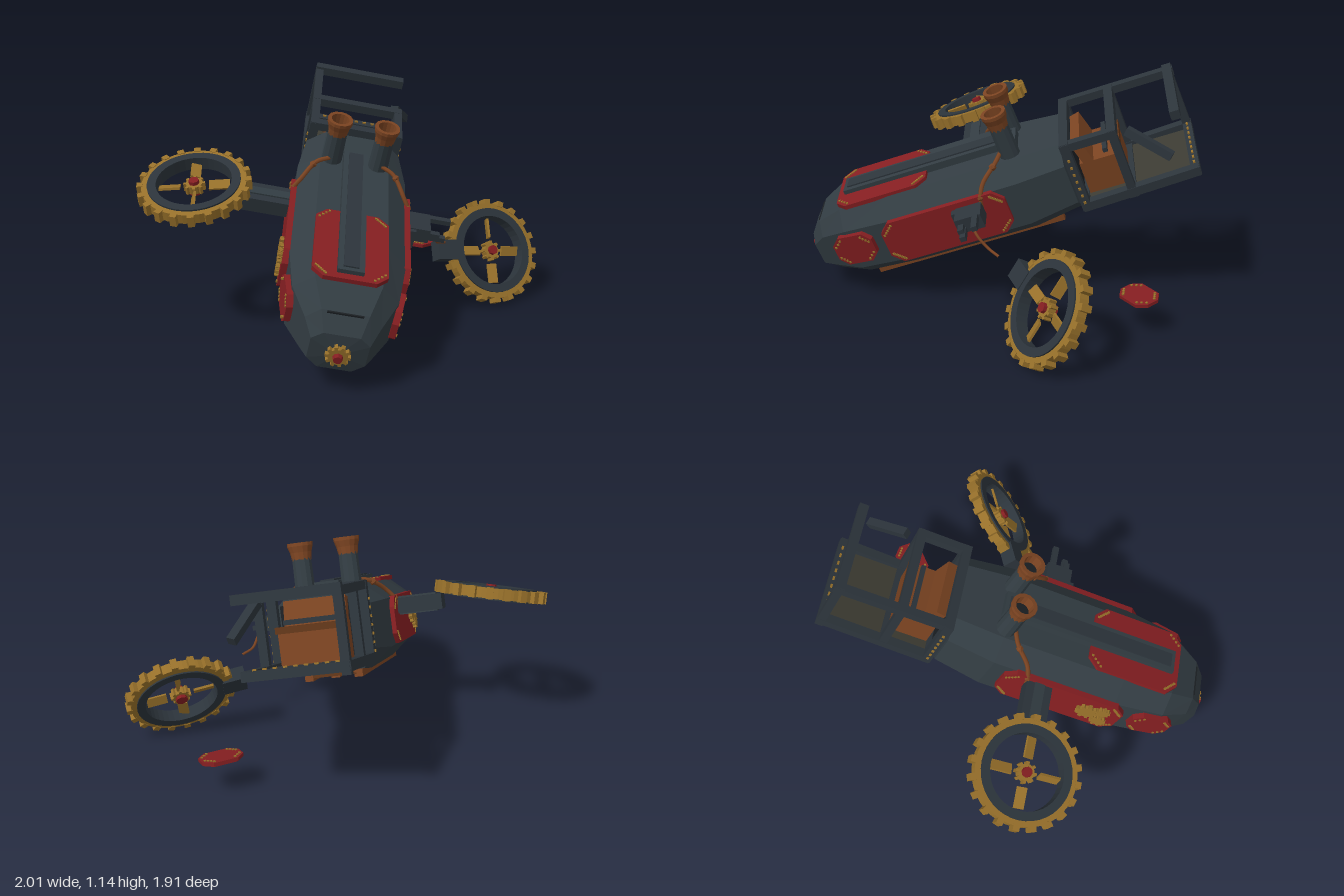
import * as THREE from 'three';

const mat = (name, color) => {
  const m = new THREE.MeshStandardMaterial({ color });
  m.name = name;
  return m;
};
const V = (x, y, z) => new THREE.Vector3(x, y, z);

export function createModel() {
  const steel = mat('dark steel', 0x323c42), frame = mat('frame steel', 0x2c343b);
  const red = mat('red plate', 0x841e21), gold = mat('brass', 0x97702a);
  const rust = mat('rusty copper', 0x7a4321), brown = mat('brown underside', 0x5e3418);
  const glass = mat('smoky glass', 0x3c3b32), black = mat('soot', 0x1b1f23);

  const root = new THREE.Group();
  root.name = 'wreckedCraft';
  // the craft is pitched nose down and rolled to its left
  const body = new THREE.Group();
  body.name = 'body';
  body.position.set(-0.02, 0.5, 0.2);
  body.rotation.set(0.349, 0, -0.192, 'ZYX');
  root.add(body);

  const flat = (g) => {
    const f = g.index ? g.toNonIndexed() : g;
    f.computeVertexNormals();
    return f;
  };
  const add = (parent, name, geo, m, x = 0, y = 0, z = 0) => {
    const mesh = new THREE.Mesh(geo, m);
    mesh.name = name;
    mesh.position.set(x, y, z);
    parent.add(mesh);
    return mesh;
  };
  const box = (parent, name, m, w, h, d, x, y, z) =>
    add(parent, name, new THREE.BoxGeometry(w, h, d), m, x, y, z);
  // square bar between two points
  const bar = (parent, name, p, q, s = 0.04, m = frame) => {
    const mesh = new THREE.Mesh(new THREE.BoxGeometry(s, s, p.distanceTo(q) + s * 0.8), m);
    mesh.name = name;
    mesh.position.copy(p).lerp(q, 0.5);
    mesh.lookAt(q);
    parent.add(mesh);
    return mesh;
  };

  // riveted plate with cut corners, facing +z of its group
  const plate = (parent, name, w, h, cut, t = 0.022, n = 5) => {
    const g = new THREE.Group();
    g.name = name;
    const x = w / 2, y = h / 2;
    const outline = (k) => [[x - cut, -y], [x, cut - y], [x, y - cut], [x - cut, y],
      [cut - x, y], [-x, y - cut], [-x, cut - y], [cut - x, -y]]
      .map(([a, b]) => new THREE.Vector2(a * (1 - k / x), b * (1 - k / y)));
    add(g, name + 'Sheet', new THREE.ExtrudeGeometry(new THREE.Shape(outline(0)),
      { depth: t, bevelEnabled: false }), red);
    const pts = outline(0.016);
    pts.forEach((p, i) => {
      const q = pts[(i + 1) % 8], steps = i % 2 ? 1 : Math.max(1, i % 4 === 0 ? Math.ceil(n * 0.5) : n);
      // long edges get the full rivet count
      for (let s = 0; s < steps; s++) {
        const r = p.clone().lerp(q, s / steps);
        box(g, 'rivet', gold, 0.01, 0.01, 0.01, r.x, r.y, t);
      }
    });
    parent.add(g);
    return g;
  };

  // toothed disc, axis along y
  const gear = (parent, name, r, t, teeth, m = gold) => {
    const g = new THREE.Group();
    g.name = name;
    add(g, name + 'Disc', flat(new THREE.CylinderGeometry(r * 0.8, r * 0.8, t, 14)), m);
    for (let i = 0; i < teeth; i++) {
      const a = i / teeth * Math.PI * 2;
      box(g, 'tooth', m, r * 0.35, t, r * 0.28, Math.cos(a) * r * 0.85, 0, Math.sin(a) * r * 0.85).rotation.y = -a;
    }
    parent.add(g);
    return g;
  };

  // faceted hull lofted from octagon sections: [z, width scale, height scale, y shift]
  const right = [[0.17, 0.2], [0.27, 0.12], [0.27, -0.11], [0.16, -0.2]];
  const oct = [...right, ...right.map(([a, b]) => [-a, b]).reverse()];
  const rings = [[-0.57, 0.88, 0.9, 0.01], [-0.33, 1, 1, 0], [0.3, 1, 1, 0], [0.56, 0.88, 0.97, 0],
    [0.70, 0.62, 0.75, -0.01], [0.77, 0.48, 0.5, -0.03]]
    .map(([z, su, sv, c]) => oct.map(([a, b]) => V(a * su, b * sv + c, z)));
  const tris = [];
  for (let i = 0; i < 8; i++) {
    const j = (i + 1) % 8;
    for (let k = 0; k < rings.length - 1; k++) {
      const [a, b, c, d] = [rings[k][i], rings[k][j], rings[k + 1][j], rings[k + 1][i]];
      tris.push(a, d, c, a, c, b);
    }
    const end = rings[rings.length - 1];
    tris.push(V(0, 0.01, -0.57), rings[0][i], rings[0][j], V(0, -0.03, 0.785), end[j], end[i]);
  }
  add(body, 'hull', flat(new THREE.BufferGeometry().setFromPoints(tris)), steel);

  // top plate and spine
  const top = plate(body, 'topPlate', 0.34, 0.47, 0.05, 0.022, 6);
  top.rotation.x = -Math.PI / 2;
  top.position.set(0, 0.194, 0.335);
  box(body, 'spine', steel, 0.12, 0.05, 0.9, 0, 0.212, 0.085);
  box(body, 'spineRidge', frame, 0.07, 0.01, 0.86, 0, 0.239, 0.085);

  // nose boss
  const boss = gear(body, 'noseGear', 0.055, 0.03, 10);
  boss.rotation.x = Math.PI / 2;
  boss.position.set(0, -0.03, 0.785);
  add(boss, 'noseHub', flat(new THREE.CylinderGeometry(0.02, 0.026, 0.03, 8)), red, 0, 0.02, 0);
  box(body, 'noseSlot', black, 0.16, 0.008, 0.008, 0, 0.135, 0.705);

  // side plates, chimneys and pipes on both sides
  for (const s of [1, -1]) {
    const side = plate(body, 'sidePlate', 0.63, 0.23, 0.05, 0.03, 8);
    side.rotation.y = s * Math.PI / 2;
    side.position.set(s * 0.262, 0.01, 0.055);
    const cheek = plate(body, 'cheekPlate', 0.21, 0.16, 0.04, 0.03, 3);
    cheek.rotation.y = s * (Math.PI / 2 - 0.16);
    cheek.position.set(s * 0.236, 0.02, 0.53);
    add(body, 'chimney', flat(new THREE.CylinderGeometry(0.046, 0.05, 0.25, 12, 1, true)), steel, s * 0.115, 0.3, -0.328);
    add(body, 'chimneyRim', flat(new THREE.LatheGeometry([[0.034, -0.15], [0.052, -0.03], [0.062, 0.0],
      [0.062, 0.016], [0.044, 0.016], [0.034, -0.15]].map((p) => new THREE.Vector2(...p)), 14)), rust, s * 0.115, 0.42, -0.328);
    add(body, 'chimneySoot', new THREE.CircleGeometry(0.045, 12), black, s * 0.115, 0.38, -0.328).rotation.x = -Math.PI / 2;
    const path = new THREE.CatmullRomCurve3([V(s * 0.13, 0.23, -0.29), V(s * 0.19, 0.215, -0.26),
      V(s * 0.25, 0.16, -0.18), V(s * 0.287, 0.1, -0.15), V(s * 0.28, 0.06, -0.15)]);
    add(body, 'pipe', new THREE.TubeGeometry(path, 16, 0.011, 6), rust);
    for (const t of [0.3, 0.7]) {
      const p = path.getPoint(t);
      add(body, 'pipeJoint', flat(new THREE.IcosahedronGeometry(0.019, 0)), rust, p.x, p.y, p.z);
    }
    // underside rails
    box(body, 'keelRail', rust, 0.04, 0.035, 0.98, s * 0.12, -0.207, 0.03);
  }
  box(body, 'keelPlate', brown, 0.22, 0.02, 0.98, 0, -0.2, 0.03);
  box(body, 'keelRidge', rust, 0.04, 0.02, 0.9, 0, -0.212, 0.03);

  // hatch lock on the left plate, clockwork on the other
  box(body, 'hatchLock', black, 0.035, 0.08, 0.11, 0.302, 0.043, -0.06);
  for (const dz of [-0.05, 0.05]) box(body, 'lockPost', frame, 0.05, 0.1, 0.02, 0.305, 0.043, -0.06 + dz);
  for (const dy of [-0.035, 0.035]) box(body, 'lockBar', frame, 0.05, 0.02, 0.12, 0.305, 0.043 + dy, -0.06);
  [[0.055, 0.02, 0.2], [0.04, -0.03, 0.28], [0.035, 0.06, 0.27]].forEach(([r, y, z]) => {
    const g = gear(body, 'clockworkGear', r, 0.02, 9);
    g.rotation.z = Math.PI / 2;
    g.position.set(-0.3, y, z);
  });

  // wing arm on one side, snapped stump on the other
  box(body, 'wingArm', frame, 0.27, 0.075, 0.13, -0.375, 0.07, -0.086);
  box(body, 'wingArmRib', steel, 0.24, 0.09, 0.05, -0.36, 0.07, -0.086);
  box(body, 'wingStump', frame, 0.14, 0.075, 0.13, 0.33, 0.06, -0.086);
  [[0.03, -0.04, 0.1], [-0.02, 0.035, 0.08], [0.0, 0.04, 0.05]].forEach(([dy, dz, l]) =>
    box(body, 'stumpProng', frame, l, 0.025, 0.028, 0.4 + l / 2, 0.06 + dy, -0.086 + dz));

  // open rear cage with a missing corner
  const F = -0.6, M = -0.83, B = -1.14, T = 0.205, L = -0.13, U = 0.215;
  for (const s of [1, -1]) {
    bar(body, 'cageFrontPost', V(s * U, L, F), V(s * U, T, F), 0.045);
    bar(body, 'cageMidPost', V(s * U, L, M), V(s * U, T, M));
    bar(body, 'cageBottomRail', V(s * U, L, F), V(s * U, L + 0.02, B), 0.045);
    bar(body, 'cageTopRail', V(s * U, T, F), V(s * U, T, s > 0 ? M : B));
    for (let i = 0; i < 7; i++) box(body, 'cageRivet', gold, 0.012, 0.012, 0.012, s * 0.238, -0.1 + i * 0.04, F);
  }
  bar(body, 'cageRearPost', V(-U, L, B), V(-U, T + 0.01, B + 0.01));
  bar(body, 'cageRearTopBar', V(-U, T + 0.01, B + 0.01), V(U + 0.01, T + 0.01, B + 0.01), 0.045);
  [[T, F], [T, M], [L, F], [L, M], [L + 0.02, B]].forEach(([y, z]) =>
    bar(body, 'cageCrossBar', V(-U, y, z), V(U, y, z), 0.043));
  for (let i = 0; i < 9; i++) box(body, 'cageRivet', gold, 0.018, 0.008, 0.01, -0.18 + i * 0.045, L + 0.045, B);
  for (const z of [(F + M) / 2, (M + B) / 2]) {
    box(body, 'floorPane', glass, 0.41, 0.012, z > -0.8 ? 0.21 : 0.29, 0, L + 0.005, z);
  }
  box(body, 'tailCoupling', black, 0.36, 0.28, 0.05, 0, 0.01, -0.575);

  // seat with lap bar
  box(body, 'seat', rust, 0.29, 0.17, 0.2, 0, -0.03, -0.725);
  box(body, 'seatBack', rust, 0.29, 0.16, 0.05, 0, 0.09, -0.66).rotation.x = 0.25;
  box(body, 'seatEdge', brown, 0.31, 0.03, 0.03, 0, 0.05, -0.815);
  bar(body, 'lapBar', V(-0.12, 0.08, -0.76), V(0.12, 0.08, -0.76), 0.022);

  // rotor wheel: y is its axle, x points at its mount
  const wheel = (name, centre, axis, toMount) => {
    const g = new THREE.Group();
    g.name = name;
    const y = axis.normalize(), x = toMount.addScaledVector(y, -toMount.dot(y)).normalize();
    g.quaternion.setFromRotationMatrix(new THREE.Matrix4().makeBasis(x, y, x.clone().cross(y)));
    g.position.copy(centre);
    const band = (n, ri, ro, h, m) => add(g, n, flat(new THREE.LatheGeometry(
      [[ri, -h], [ro, -h], [ro, h], [ri, h], [ri, -h]].map((p) => new THREE.Vector2(...p)), 40)), m);
    band('wheelRing', 0.18, 0.222, 0.033, frame);
    band('brassTyre', 0.218, 0.25, 0.025, gold);
    for (let i = 0; i < 20; i++) {
      const a = i / 20 * Math.PI * 2;
      box(g, 'tyreTooth', gold, 0.03, 0.056, 0.032, Math.cos(a) * 0.257, 0, Math.sin(a) * 0.257).rotation.y = -a;
    }
    for (let i = 0; i < 4; i++) {
      const arm = new THREE.Group();
      arm.name = 'blade';
      arm.rotation.y = -i * Math.PI / 2;
      box(arm, 'bladePaddle', gold, 0.1, 0.012, 0.05, 0.118, 0, 0).rotation.x = i === 1 ? 1.2 : 0.35;
      g.add(arm);
    }
    gear(g, 'hubGear', 0.05, 0.04, 8);
    add(g, 'hubCap', flat(new THREE.CylinderGeometry(0.024, 0.03, 0.075, 8)), red);
    root.add(g);
    return g;
  };
  wheel('mountedWheel', V(-0.73, 0.743, 0.16), V(-0.06, 0.93, 0.36), V(1, 0, 0));
  const loose = wheel('looseWheel', V(0.75, 0.26, -0.225), V(0.42, 0.47, 0.77), V(-0.89, 0.18, 0.43));
  box(loose, 'brokenMount', frame, 0.12, 0.075, 0.1, 0.27, 0, 0);

  // torn wire, drooping rail and a fallen plate
  add(root, 'tornWire', new THREE.TubeGeometry(new THREE.CatmullRomCurve3(
    [V(0.38, 0.5, 0.13), V(0.42, 0.46, 0.1), V(0.44, 0.41, 0.05), V(0.485, 0.39, 0)]), 12, 0.007, 6), rust);
  bar(root, 'bentRail', V(0.275, 0.93, -0.59), V(0.335, 0.845, -0.77), 0.04);
  const fallen = plate(root, 'fallenPlate', 0.2, 0.14, 0.04, 0.016, 3);
  fallen.position.set(0.443, 0.175, -0.655);
  fallen.rotation.set(-Math.PI / 2 + 0.14, 0.1, 0.6);
  const back = fallen.children[0].clone();
  back.name = 'fallenPlateBacking';
  back.scale.set(0.9, 0.9, 0.5);
  back.position.z = -0.006;
  fallen.add(back);
  return root;
}
